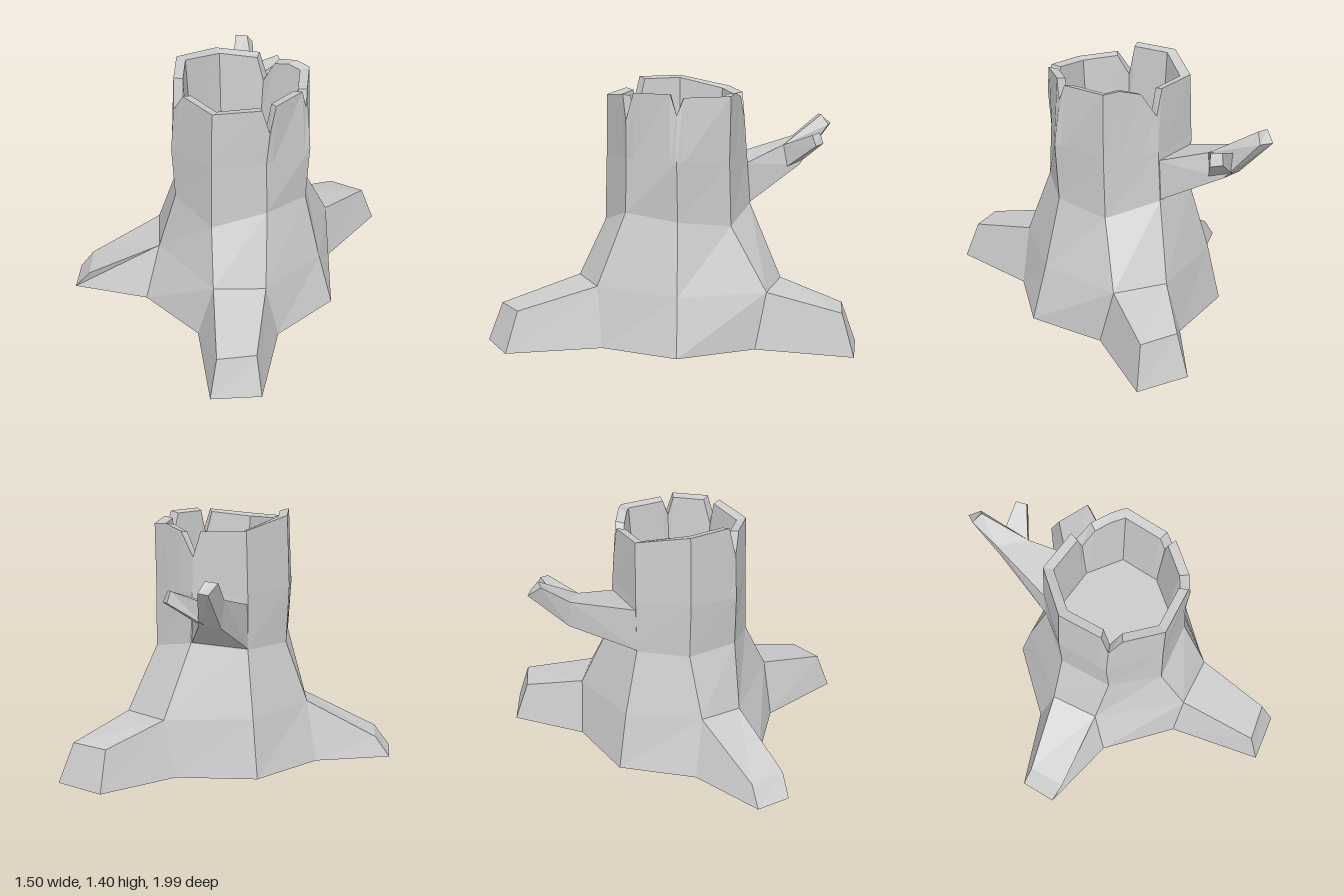
import * as THREE from 'three';

const material = new THREE.MeshStandardMaterial({
  color: 0xcccccc, flatShading: true, side: THREE.DoubleSide,
});

// Collects quads (corners counter-clockwise from outside) into one faceted mesh.
function facetMesh(name, build) {
  const pos = [];
  const quad = (a, b, c, d) => pos.push(...a, ...b, ...c, ...a, ...c, ...d);
  build(quad);
  const geo = new THREE.BufferGeometry();
  geo.setAttribute('position', new THREE.Float32BufferAttribute(pos, 3));
  geo.computeVertexNormals();
  const mesh = new THREE.Mesh(geo, material);
  mesh.name = name;
  return mesh;
}

// Octagonal cross-sections: corner 0 at +x, then turning towards +z.
const base = [[.75, .02, -.04], [.58, .02, .36], [.17, .02, .54], [-.24, .015, .37],
  [-.41, .015, -.04], [-.24, .02, -.45], [.17, .02, -.62], [.58, .02, -.45]];
const flare = [[.66, .32, -.04], [.51, .34, .39], [.25, .34, .51], [-.21, .32, .25],
  [-.33, .345, .01], [-.19, .34, -.4], [.25, .33, -.6], [.53, .32, -.51]];
const waist = [[.56, .7, -.04], [.445, .73, .24], [.175, .635, .37], [-.105, .69, .24],
  [-.22, .69, -.04], [-.12, .7, -.32], [.17, .73, -.43], [.45, .66, -.32]];
const chest = [[.575, 1.02, -.035], [.43, 1.02, .235], [.17, 1.01, .36], [-.125, .98, .24],
  [-.235, 1.01, -.035], [-.12, 1, -.32], [.17, 1, -.41], [.45, 1, -.31]];
const top = [[.54, 1.3, -.035], [.445, 1.3, .235], [.17, 1.3, .355], [-.11, 1.3, .235],
  [-.22, 1.3, -.035], [-.11, 1.3, -.315], [.17, 1.3, -.395], [.45, 1.3, -.315]];

// Broken rim: [position around the octagon, height], dips are the notches.
const rim = [[0, 1.26], [.13, 1.37], [.85, 1.365], [1, 1.22], [1.14, 1.355], [2, 1.33],
  [2.75, 1.345], [3, 1.23], [3.15, 1.4], [4, 1.4], [5, 1.35], [5.85, 1.34], [6, 1.2],
  [6.3, 1.33], [6.7, 1.36], [7, 1.35], [7.87, 1.35]];

// Point on a ring's edge at position t (0..8).
function along(ring, t) {
  const k = Math.floor(t) % 8, f = t - Math.floor(t), n = ring[(k + 1) % 8];
  return ring[k].map((v, i) => v + (n[i] - v) * f);
}

// Moves a point to height y and scales it about the trunk axis.
const AXIS = [.17, -.03];
const inset = (p, s, y) => [AXIS[0] + (p[0] - AXIS[0]) * s, y, AXIS[1] + (p[2] - AXIS[1]) * s];

// Root tips: side of the octagon, then upper and ground corners on each edge.
const roots = [
  { name: 'frontRoot', side: 1, up: [[.63, .235, .8], [.45, .23, .91]], low: [[.69, .02, .86], [.45, .02, .99]] },
  { name: 'leftRoot', side: 3, up: [[-.59, .115, .415], [-.67, .115, .22]], low: [[-.68, 0, .43], [-.75, 0, .24]] },
  { name: 'backRoot', side: 6, up: [[.42, .24, -.92], [.635, .24, -.9]], low: [[.41, .02, -1], [.7, .02, -.96]] },
];
roots[1].name = 'sideRoot';

// Lofts four-cornered sections and closes the far end.
function loft(name, sections) {
  return facetMesh(name, (quad) => {
    for (let s = 0; s < sections.length - 1; s++) {
      const a = sections[s], b = sections[s + 1];
      for (let i = 0; i < 4; i++) {
        const j = (i + 1) % 4;
        quad(a[j], a[i], b[i], b[j]);
      }
    }
    const e = sections[sections.length - 1];
    quad(e[3], e[2], e[1], e[0]);
  });
}

export function createModel() {
  const group = new THREE.Group();
  group.name = 'treeStump';

  // Trunk walls; the lowest band is left open where a root grows out
  group.add(facetMesh('trunk', (quad) => {
    const rings = [base, flare, waist, chest];
    for (let r = 0; r < 3; r++) {
      for (let k = 0; k < 8; k++) {
        if (r === 0 && roots.some((root) => root.side === k)) continue;
        const n = (k + 1) % 8, lo = rings[r], hi = rings[r + 1];
        quad(lo[n], lo[k], hi[k], hi[n]);
      }
    }
  }));

  // Jagged upper wall, rim, hollow and its floor
  const columns = rim.map(([t, y]) => {
    const outer = along(top, t);
    return {
      low: along(chest, t),
      outer: [outer[0], y, outer[2]],
      inner: inset(outer, .86, y - .01),
      floor: inset(outer, .77, .88),
    };
  });
  const eachColumn = (fn) => columns.forEach((c, i) => fn(c, columns[(i + 1) % columns.length]));
  group.add(facetMesh('brokenTop', (quad) => eachColumn((a, b) => {
    quad(b.low, a.low, a.outer, b.outer);
    quad(b.outer, a.outer, a.inner, b.inner);
  })));
  group.add(facetMesh('hollow', (quad) => eachColumn((a, b) => {
    const centre = [AXIS[0], .88, AXIS[1]];
    quad(a.floor, b.floor, b.inner, a.inner);
    quad(b.floor, a.floor, centre, centre);
  })));

  // Roots
  for (const { name, side: k, up, low } of roots) {
    const n = (k + 1) % 8;
    group.add(facetMesh(name, (quad) => {
      quad(up[1], up[0], flare[k], flare[n]);
      quad(low[1], low[0], up[0], up[1]);
      quad(low[0], base[k], flare[k], up[0]);
      quad(base[n], low[1], up[1], flare[n]);
    }));
  }

  // Broken branch at the back and its side twig
  group.add(loft('branch', [
    [[-.12, .7, -.31], [.17, .73, -.42], [.17, .95, -.4], [-.115, .95, -.31]],
    [[-.15, .91, -.69], [-.03, .91, -.71], [0, 1.03, -.62], [-.165, 1.06, -.68]],
    [[-.19, 1.13, -.9], [-.12, 1.13, -.88], [-.14, 1.185, -.84], [-.21, 1.18, -.83]],
  ]));
  group.add(loft('twig', [
    [[-.07, .93, -.73], [.0, .89, -.62], [.0, 1.03, -.62], [-.07, 1.05, -.74]],
    [[.08, 1.05, -.835], [.13, 1.04, -.79], [.11, 1.1, -.77], [.07, 1.11, -.815]],
  ]));

  return group;
}
